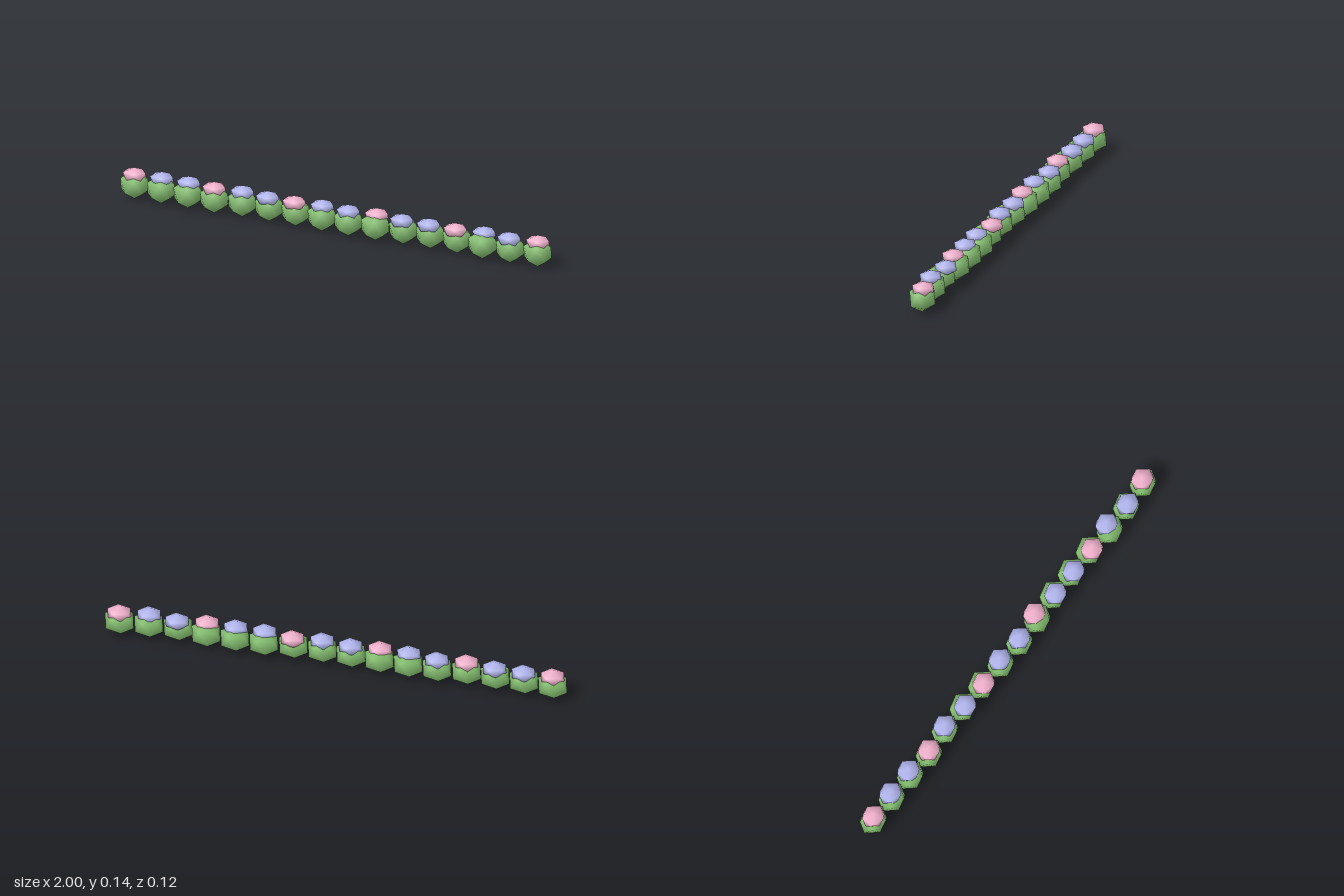
import * as THREE from 'three';
import { mergeVertices } from 'three/addons/utils/BufferGeometryUtils.js';

// Smooth-shaded icosahedron standing on a corner, upper ring pointing to +x
function makeBlob(rx, ry, rz) {
  const raw = new THREE.IcosahedronGeometry(1, 0);
  raw.deleteAttribute('normal');
  raw.deleteAttribute('uv');
  const geo = mergeVertices(raw, 1e-4);
  geo.rotateX(-Math.atan((1 + Math.sqrt(5)) / 2));
  geo.rotateY(Math.PI / 2);
  geo.scale(rx, ry, rz);
  geo.computeVertexNormals();
  return geo;
}

export function createModel() {
  const group = new THREE.Group();
  group.name = 'flowerHedge';

  const green = new THREE.MeshStandardMaterial({ color: 0x85c070 });
  const pink = new THREE.MeshStandardMaterial({ color: 0xf0b0cc });
  const blue = new THREE.MeshStandardMaterial({ color: 0xb0b4ec });

  const bushGeo = makeBlob(0.07, 0.065, 0.06);
  const flowerGeo = makeBlob(0.057, 0.032, 0.051);

  // Slight front-to-back wobble of each bush and its flower cap
  const bushZ = [-0.004, -0.002, 0, 0.004, -0.007, -0.007, -0.005, 0.002,
    0.006, 0.005, -0.007, -0.007, -0.006, 0.0075, 0, -0.0075];
  const flowerZ = [-0.004, -0.009, -0.009, 0.004, -0.009, 0.006, 0.008, -0.003,
    0.006, -0.01, 0.007, 0.007, 0.009, -0.009, 0.007, -0.0105];

  // Row of bushes, every third one with a pink cap
  for (let i = 0; i < 16; i++) {
    const plant = new THREE.Group();
    plant.name = `plant${i + 1}`;
    plant.position.x = (i - 7.5) * 0.125;

    const bush = new THREE.Mesh(bushGeo, green);
    bush.name = 'bush';
    bush.position.set(0, 0.065, bushZ[i]);

    const flower = new THREE.Mesh(flowerGeo, i % 3 === 0 ? pink : blue);
    flower.name = 'flower';
    flower.position.set(0, 0.1067, flowerZ[i]);

    plant.add(bush, flower);
    group.add(plant);
  }
  return group;
}
